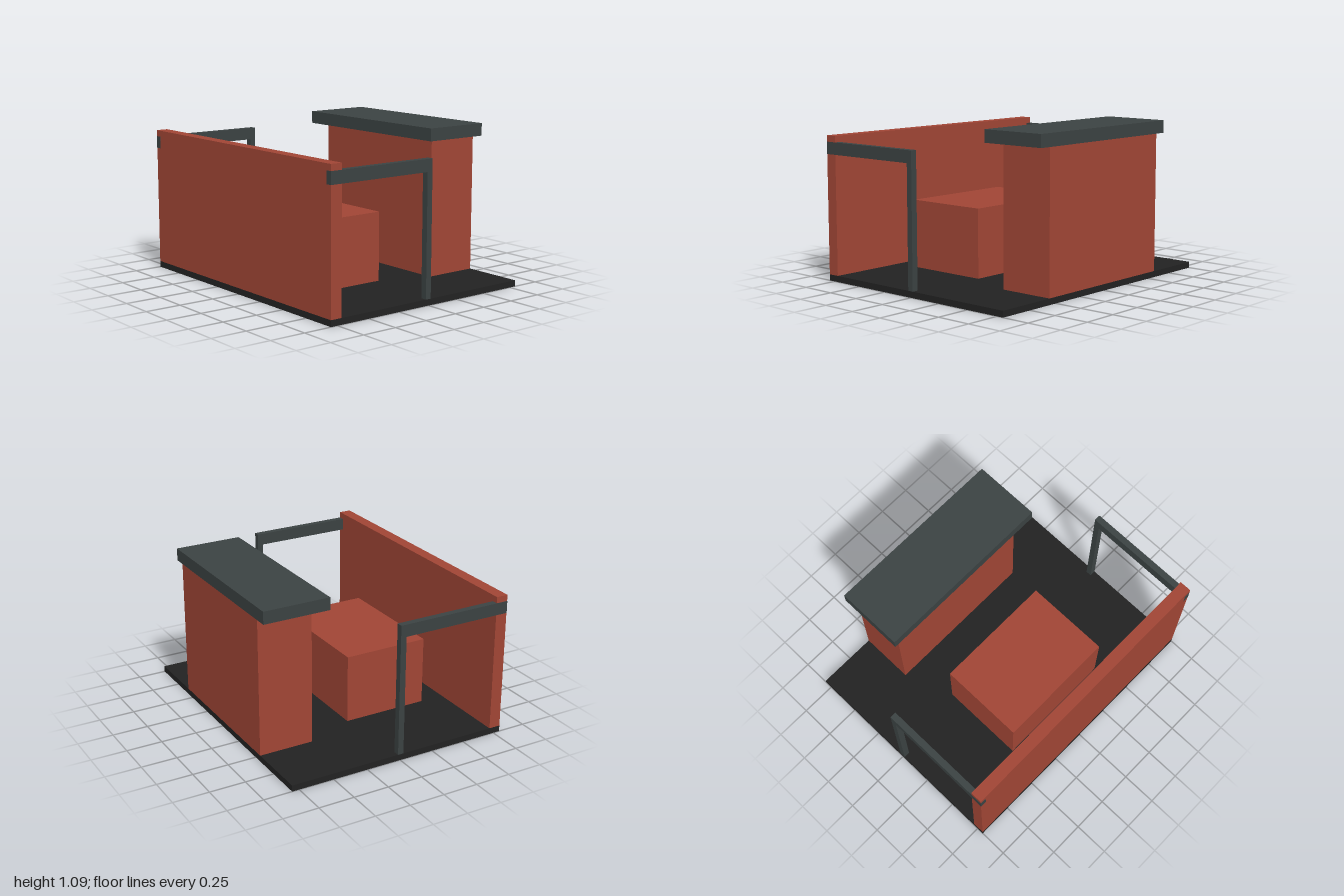
import * as THREE from 'three';

export function createModel() {
  const model = new THREE.Group();
  model.name = 'pavilion';

  const material = (name, color) => {
    const m = new THREE.MeshStandardMaterial({ color });
    m.name = name;
    return m;
  };
  const brick = material('brick red', 0xa04535);
  const slate = material('slate grey', 0x3b4242);
  const black = material('charcoal', 0x222222);

  // Box given by its extents along each axis
  const box = (name, mat, [x0, x1], [y0, y1], [z0, z1], parent = model) => {
    const mesh = new THREE.Mesh(new THREE.BoxGeometry(x1 - x0, y1 - y0, z1 - z0), mat);
    mesh.position.set((x0 + x1) / 2, (y0 + y1) / 2, (z0 + z1) / 2);
    mesh.name = name;
    parent.add(mesh);
  };

  const floor = 0.043;
  box('basePlate', black, [-0.8, 0.8], [0, floor], [-1, 1]);

  // Long side wall, central block and tall block with its overhanging roof
  box('sideWall', brick, [-0.8, -0.717], [floor, 1], [-1, 1]);
  box('centralBlock', brick, [-0.545, 0.063], [floor, 0.522], [-0.432, 0.432]);
  box('tallBlock', brick, [0.413, 0.8], [floor, 1], [-0.565, 0.565]);
  box('roofSlab', slate, [0.326, 0.8], [1, 1.087], [-0.65, 0.65]);

  // Post and beam frame at each end, a hair proud of the wall's end
  for (const [name, s] of [['frontFrame', 1], ['backFrame', -1]]) {
    const frame = new THREE.Group();
    frame.name = name;
    const z = [s * 0.957, s * 1.001].sort((a, b) => a - b);
    box('beam', slate, [-0.801, 0.018], [0.873, 0.957], z, frame);
    box('post', slate, [-0.023, 0.018], [floor, 0.873], z, frame);
    model.add(frame);
  }
  return model;
}
